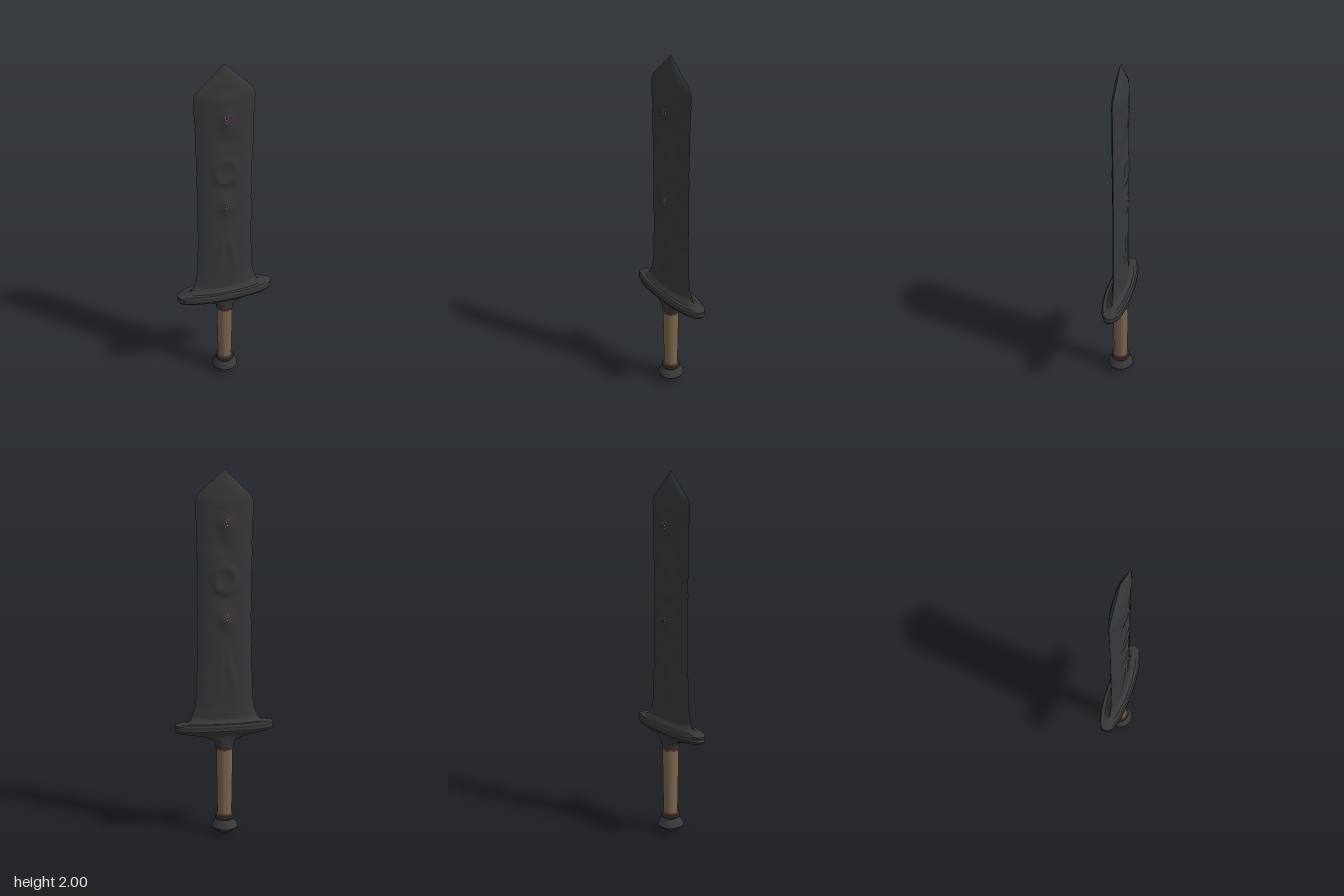
import * as THREE from 'three';
import { toCreasedNormals } from 'three/addons/utils/BufferGeometryUtils.js';

const material = (name, color) => Object.assign(new THREE.MeshStandardMaterial({ color }), { name });

// Grid surface through point(i, j); j runs right and i runs up when seen from outside
function surface(rows, cols, point, flip = false) {
  const pos = [], index = [];
  for (let i = 0; i <= rows; i++) for (let j = 0; j <= cols; j++) pos.push(...point(i, j));
  for (let i = 0; i < rows; i++) for (let j = 0; j < cols; j++) {
    const a = i * (cols + 1) + j, b = a + 1, d = a + cols + 1, c = d + 1;
    if (flip) index.push(a, c, b, a, d, c);
    else index.push(a, b, c, a, c, d);
  }
  const geo = new THREE.BufferGeometry();
  geo.setAttribute('position', new THREE.Float32BufferAttribute(pos, 3));
  geo.setIndex(index);
  geo.computeVertexNormals();
  return geo;
}

// Linear lookup in a list of [key, value] pairs
function lookup(table, y) {
  for (let k = 1; k < table.length; k++) {
    const [y0, v0] = table[k - 1], [y1, v1] = table[k];
    if (y <= y1) return v0 + (v1 - v0) * (y - y0) / (y1 - y0);
  }
  return table[table.length - 1][1];
}

const WIDTH = [[0.63, 0.225], [0.66, 0.205], [0.69, 0.183], [0.73, 0.167], [0.8, 0.158], [1.0, 0.15],
  [1.4, 0.147], [1.7, 0.151], [1.84, 0.155], [1.86, 0.148], [1.88, 0.132], [2, 0]];
const THICK = [[0.63, 0.034], [0.75, 0.029], [1.6, 0.029], [1.84, 0.029], [1.92, 0.021], [1.97, 0.01], [2, 0]];

const bump = (x, y, cy, rx, ry) => Math.exp(-((x / rx) ** 2) - ((y - cy) / ry) ** 2);

// Half thickness of the blade with its hammered relief
function bladeDepth(x, y, u) {
  const lens = 1 - Math.abs(u) ** 2.5;
  const ring = Math.hypot(x / 0.055, (y - 1.43) / 0.065);
  const relief = 0.014 * bump(x, y, 1.22, 0.04, 0.05)
    + 0.012 * bump(x, y, 1.73, 0.04, 0.06)
    + 0.005 * bump(x, y, 1.82, 0.06, 0.03)
    + 0.006 * Math.exp(-(((ring - 1) / 0.35) ** 2))
    - 0.005 * bump(x, y, 1.6, 0.05, 0.04)
    - 0.004 * bump(x, y, 1.33, 0.05, 0.03)
    + 0.005 * bump(Math.abs(x) - (1.08 - y) * 0.2, y, 0.93, 0.02, 0.13);
  return lookup(THICK, y) * lens + relief * lens;
}

function bladeSide(sign) {
  const rows = 137, cols = 40;
  return surface(rows, cols, (i, j) => {
    const y = 0.63 + i * 0.01, u = -1 + 2 * j / cols;
    const nick = y > 0.8 && y < 1.84 ? 0.002 * Math.sin(y * 47) * Math.sin(y * 19) : 0;
    const x = u * (lookup(WIDTH, y) + nick);
    return [x, y, sign * bladeDepth(x, y, u)];
  }, sign < 0);
}

export function createModel() {
  const model = new THREE.Group();
  model.name = 'greatsword';
  const iron = material('darkIron', 0x383838);
  const leather = material('brownLeather', 0x7a664e);
  const copper = material('copper', 0x954c38);
  const pink = material('pinkCrystal', 0xb878b4);

  const add = (name, geo, mat, parent = model) => {
    const mesh = new THREE.Mesh(geo, mat);
    mesh.name = name;
    parent.add(mesh);
    return mesh;
  };
  const lathe = (points, angle = 0.6) => toCreasedNormals(
    new THREE.LatheGeometry(points.map(([r, y]) => new THREE.Vector2(r, y)), 32), angle);

  // Blade: two relief faces meeting at a sharp edge
  const blade = new THREE.Group();
  blade.name = 'blade';
  model.add(blade);
  add('bladeFront', bladeSide(1), iron, blade);
  add('bladeBack', bladeSide(-1), iron, blade);

  // Guard and its flared neck: rings of [y, half width, half depth]
  const rings = [[0.5, 0.046, 0.044], [0.53, 0.05, 0.045], [0.55, 0.062, 0.046], [0.565, 0.09, 0.047],
    [0.577, 0.13, 0.048], [0.588, 0.19, 0.051], [0.598, 0.25, 0.06], [0.605, 0.27, 0.07],
    [0.618, 0.276, 0.074], [0.624, 0.271, 0.07], [0.63, 0.271, 0.07], [0.636, 0.276, 0.074],
    [0.645, 0.275, 0.073], [0.652, 0.265, 0.066], [0.652, 0, 0]];
  const squash = v => Math.sign(v) * Math.abs(v) ** 0.86;
  const guard = surface(rings.length - 1, 48, (i, j) => {
    const t = j / 48 * Math.PI * 2 - Math.PI, [y, rx, rz] = rings[i];
    return [rx * squash(Math.sin(t)), y, rz * squash(Math.cos(t))];
  });
  add('guard', toCreasedNormals(guard, 0.7), iron);

  // Low rise where the blade grows out of the guard
  add('bladeRoot', surface(6, 32, (i, j) => {
    const t = j / 32 * Math.PI * 2 - Math.PI, s = i / 6, k = (1 - s) ** 2;
    return [(0.17 + 0.06 * k) * Math.sin(t), 0.65 + 0.05 * s, (0.024 + 0.03 * k) * Math.cos(t)];
  }), iron);

  // Grip with a slight swell, and copper bands at both ends
  add('grip', lathe([[0.04, 0.1], [0.041, 0.2], [0.043, 0.32], [0.044, 0.42], [0.044, 0.5]]), leather);
  for (const [name, y, r] of [['upperBand', 0.504, 0.044], ['lowerBand', 0.119, 0.04]]) {
    const band = add(name, new THREE.TorusGeometry(r, 0.005, 8, 32), copper);
    band.rotation.x = Math.PI / 2;
    band.position.y = y;
  }

  // Pommel with a collar and a pointed end
  add('pommel', lathe([[0, 0], [0.022, 0.008], [0.05, 0.028], [0.072, 0.044], [0.075, 0.051], [0.072, 0.058],
    [0.056, 0.082], [0.048, 0.094], [0.052, 0.099], [0.054, 0.107], [0.05, 0.114], [0.04, 0.116]]), iron);

  // Crystal flecks on the two bosses of each face
  const flecks = [[-0.009, 0.016], [0.006, 0.011], [-0.003, 0.002], [0.009, -0.006], [-0.006, -0.013], [0.004, -0.02]];
  const fleckGeo = new THREE.SphereGeometry(1, 8, 6);
  for (const sign of [1, -1]) for (const cy of [1.23, 1.725]) {
    const cluster = new THREE.Group();
    cluster.name = 'crystalFlecks';
    model.add(cluster);
    flecks.forEach(([x, dy], k) => {
      const y = cy + dy;
      const fleck = add('fleck', fleckGeo, pink, cluster);
      fleck.position.set(x, y, sign * bladeDepth(x, y, x / 0.15));
      fleck.scale.set(k % 2 ? 0.003 : 0.005, k % 2 ? 0.007 : 0.004, 0.0025);
    });
  }
  return model;
}
